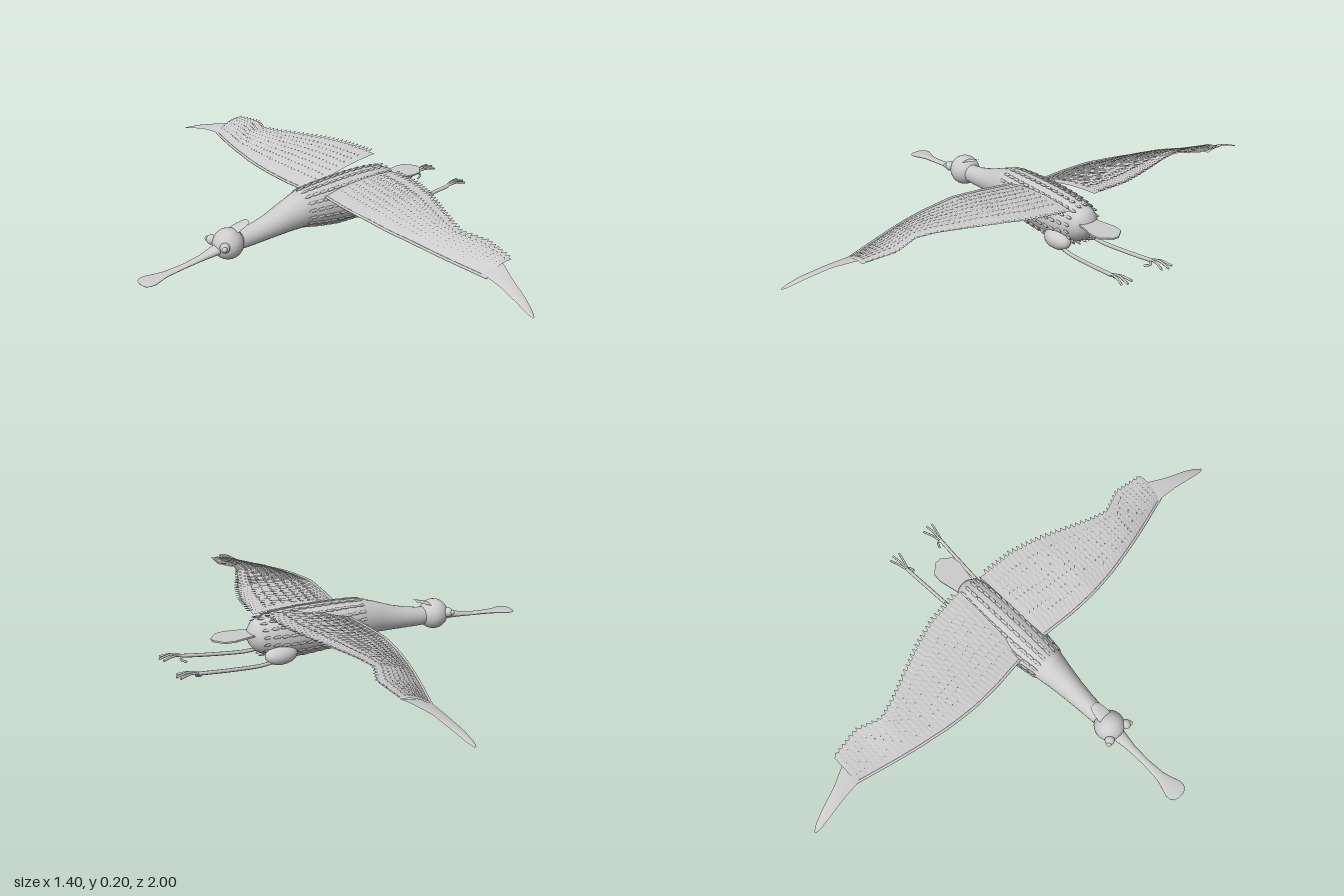
import * as THREE from 'three';
import { mergeGeometries } from 'three/addons/utils/BufferGeometryUtils.js';

const plumage = new THREE.MeshStandardMaterial({ color: 0xcccccc, side: THREE.DoubleSide });
plumage.name = 'pale grey';

// Linear lookup in rows of [key, ...values]
function lookup(rows, k) {
  let i = 0;
  while (i < rows.length - 2 && k > rows[i + 1][0]) i++;
  const f = (k - rows[i][0]) / (rows[i + 1][0] - rows[i][0]);
  return rows[i].map((v, n) => v + (rows[i + 1][n] - v) * f);
}

// Closed loft along x through elliptical stations [x, y, ry, rz]
function loft(stations, sides = 24) {
  const pos = [], index = [];
  for (const [x, y, ry, rz] of stations) {
    for (let j = 0; j < sides; j++) {
      const a = (j / sides) * Math.PI * 2;
      pos.push(x, y + ry * Math.cos(a), rz * Math.sin(a));
    }
  }
  for (let i = 0; i < stations.length - 1; i++) {
    for (let j = 0; j < sides; j++) {
      const a = i * sides + j, b = i * sides + (j + 1) % sides;
      index.push(a, b, a + sides, b, b + sides, a + sides);
    }
  }
  const g = new THREE.BufferGeometry();
  g.setAttribute('position', new THREE.Float32BufferAttribute(pos, 3));
  g.setIndex(index);
  g.computeVertexNormals();
  return g;
}

// Sheet whose points come from fn(u, v), u in 0..1 and v in -1..1
function sheet(nu, nv, fn) {
  const g = new THREE.PlaneGeometry(1, 1, nu, nv);
  const p = g.attributes.position;
  for (let i = 0; i < p.count; i++) p.setXYZ(i, ...fn(p.getX(i) + 0.5, p.getY(i) * 2));
  g.computeVertexNormals();
  return g;
}

const BODY = [
  [-0.06, 0.103, 0.062, 0.058], [-0.03, 0.104, 0.068, 0.066], [0.03, 0.1, 0.077, 0.075],
  [0.1, 0.096, 0.084, 0.081], [0.2, 0.095, 0.087, 0.083], [0.28, 0.096, 0.083, 0.08],
  [0.34, 0.1, 0.072, 0.07], [0.38, 0.104, 0.054, 0.052], [0.397, 0.106, 0.032, 0.03], [0.403, 0.106, 0.001, 0.001],
];
const NECK = [
  [-0.3, 0.06, 0.034, 0.032], [-0.28, 0.061, 0.035, 0.033], [-0.23, 0.067, 0.039, 0.037],
  [-0.17, 0.077, 0.046, 0.043], [-0.1, 0.092, 0.058, 0.053], [-0.03, 0.104, 0.069, 0.066],
];
const BILL = [
  [-0.7, 0.018, 0.001, 0.012], [-0.695, 0.018, 0.004, 0.028], [-0.68, 0.019, 0.005, 0.038],
  [-0.66, 0.02, 0.006, 0.038], [-0.63, 0.022, 0.006, 0.027], [-0.6, 0.024, 0.006, 0.018],
  [-0.53, 0.03, 0.007, 0.013], [-0.46, 0.039, 0.01, 0.015], [-0.42, 0.047, 0.015, 0.021], [-0.38, 0.055, 0.02, 0.028],
];
// Wing planform: span, leading x, trailing x
const PLAN = [
  [0.05, 0.035, 0.36], [0.2, 0.02, 0.345], [0.3, 0.02, 0.315], [0.4, 0.03, 0.275], [0.5, 0.05, 0.235],
  [0.57, 0.066, 0.215], [0.66, 0.09, 0.25], [0.78, 0.125, 0.235],
];
// Wing height: span, leading y, trailing y, for the left and the more twisted right wing
const HEIGHT = {
  1: [[0.05, 0.15, 0.163], [0.3, 0.158, 0.172], [0.5, 0.143, 0.165], [0.78, 0.105, 0.138]],
  [-1]: [[0.05, 0.132, 0.2], [0.3, 0.135, 0.193], [0.5, 0.128, 0.18], [0.78, 0.108, 0.155]],
};

export function createModel() {
  const model = new THREE.Group();
  const add = (name, geometry, parent = model) => {
    const m = new THREE.Mesh(geometry, plumage);
    m.name = name;
    parent.add(m);
    return m;
  };
  const ball = (name, r, x, y, z, sx = 1, sy = 1, sz = 1) => {
    const m = add(name, new THREE.SphereGeometry(r, 24, 16));
    m.position.set(x, y, z);
    m.scale.set(sx, sy, sz);
  };

  add('body', loft(BODY));
  add('neck', loft(NECK));
  add('bill', loft(BILL));
  ball('head', 0.056, -0.347, 0.061, 0);

  // Crest on the back of the head
  add('crest', sheet(5, 4, (u, v) => [
    -0.325 + 0.06 * u, 0.11 + 0.02 * u - 0.006 * v * v, v * 0.027 * Math.sqrt(1 - 0.7 * u * u)]));

  // Flat fan tail
  const tail = new THREE.Shape([[0.36, -0.03], [0.47, -0.052], [0.505, -0.048], [0.535, -0.012],
    [0.535, 0.012], [0.505, 0.048], [0.47, 0.052], [0.36, 0.03]].map(p => new THREE.Vector2(...p)));
  add('tail', new THREE.ExtrudeGeometry(tail, { depth: 0.006, bevelEnabled: false })
    .rotateX(Math.PI / 2).translate(0, 0.12, 0));

  // Rows of small raised feathers along the body
  const tufts = [];
  for (let row = 0; row < 16; row++) {
    const a = ((row + 0.5) / 16) * Math.PI * 2;
    for (let k = 0; k < 13; k++) {
      const [x, y, ry, rz] = lookup(BODY, -0.02 + k * 0.031);
      const g = new THREE.SphereGeometry(1, 6, 5).scale(0.02, 0.004, 0.006);
      g.rotateZ(0.14).translate(x, 0, 0).rotateX(a);
      tufts.push(g.translate(0, y + (ry + 0.001) * Math.cos(a), (rz + 0.001) * Math.sin(a)));
    }
  }
  for (const g of tufts) {
    // Keep the lowest feathers on the ground plane
    const p = g.attributes.position;
    for (let i = 0; i < p.count; i++) p.setY(i, Math.max(0, p.getY(i)));
  }
  add('bodyFeathers', mergeGeometries(tufts));

  for (const side of [1, -1]) {
    const label = side > 0 ? 'left' : 'right';
    ball(label + 'Eye', 0.018, -0.388, 0.072, side * 0.042);
    ball(label + 'Pupil', 0.009, -0.397, 0.074, side * 0.055);
    ball(label + 'Thigh', 0.06, 0.305, 0.042, side * 0.062, 1, 0.58, 0.6);

    // Leg with toes trailing behind
    const limb = (pts, r) => new THREE.TubeGeometry(
      new THREE.CatmullRomCurve3(pts.map(([x, y, z]) => new THREE.Vector3(x, y, side * z))), 10, r, 7);
    add(label + 'Leg', limb([[0.33, 0.025, 0.068], [0.38, 0.02, 0.072], [0.5, 0.029, 0.079], [0.62, 0.043, 0.086]], 0.007));
    const ankle = [0.61, 0.043, 0.086];
    const toes = [
      [[0.65, 0.052, 0.097], [0.69, 0.047, 0.108]],
      [[0.65, 0.055, 0.087], [0.698, 0.046, 0.088]],
      [[0.65, 0.051, 0.075], [0.69, 0.046, 0.064]],
      [[0.625, 0.034, 0.076], [0.605, 0.024, 0.066]],
    ];
    add(label + 'Toes', mergeGeometries(toes.map(t => limb([ankle, ...t], 0.004))));

    // Cambered wing surface at a span position and chord fraction
    const wing = new THREE.Group();
    wing.name = label + 'Wing';
    model.add(wing);
    const at = (span, c, lift = 0) => {
      const [, xl, xt] = lookup(PLAN, span);
      const [, yl, yt] = lookup(HEIGHT[side], span);
      const camber = 0.05 * Math.max(0, c * (1 - c));
      return [xl + (xt - xl) * c, yl + (yt - yl) * c + camber + lift, side * span];
    };
    add('wingSheet', sheet(32, 10, (u, v) => at(0.05 + 0.73 * u, (v + 1) / 2)), wing);

    // Thicker rounded leading edge
    const edge = [];
    for (let i = 0; i <= 12; i++) edge.push(new THREE.Vector3(...at(0.06 + 0.06 * i, 0.015)));
    add('leadingEdge', new THREE.TubeGeometry(new THREE.CatmullRomCurve3(edge), 40, 0.005, 8), wing);

    // Overlapping rows of feathers, the last row forming the ragged trailing edge
    const feathers = [];
    for (let row = 0; row < 8; row++) {
      const start = row * 0.105 + 0.04, length = row === 7 ? 0.27 : 0.17;
      for (let k = 0; k < 38; k++) {
        const span = 0.07 + k * 0.0185;
        feathers.push(sheet(4, 2, (u, v) => at(
          span + 0.012 * u + v * 0.0105 * Math.sqrt(1.02 - u ** 3),
          start + length * u, 0.001 + 0.005 * u - 0.002 * Math.abs(v))));
      }
    }
    add('wingFeathers', mergeGeometries(feathers), wing);

    // Slender tapering wing tip
    const TIP = [[0.74, 0.117, 0.215, 0.122], [0.78, 0.122, 0.2, 0.123], [0.85, 0.117, 0.168, 0.112],
      [0.93, 0.107, 0.145, 0.092], [0.98, 0.103, 0.127, 0.074], [1, 0.108, 0.114, 0.066]];
    add('wingTip', sheet(20, 4, (u, v) => {
      const [z, x0, x1, y] = lookup(TIP, 0.74 + 0.26 * u);
      return [x0 + (x1 - x0) * (v + 1) / 2, y + 0.012 * v * (1 - u) + 0.003 * (1 - v * v), side * z];
    }), wing);
  }
  return model;
}
